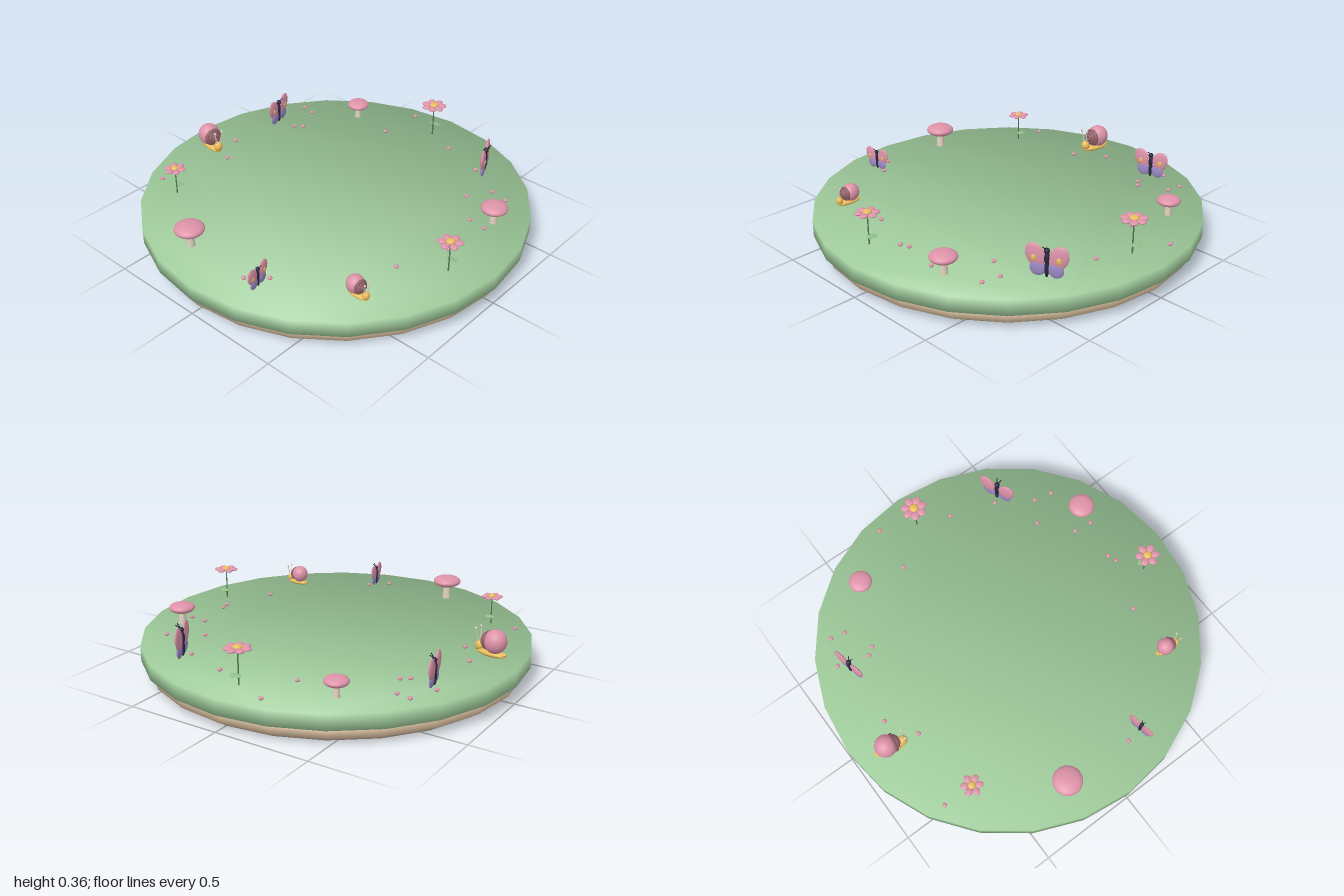
import * as THREE from 'three';

const mat = (color, side = THREE.FrontSide) => new THREE.MeshStandardMaterial({ color, side });
const PINK = mat(0xdd92a8), GREEN = mat(0xa0cc9c), TAN = mat(0xe2c6a4), BROWN = mat(0xb89f90);
const YELLOW = mat(0xe8bc5c), PURPLE = mat(0x9a88c4), DARK = mat(0x2c2740), STEM = mat(0x4f7a50);
const LEAF = mat(0x8fc08a), CREAM = mat(0xe0d4c0), MAUVE = mat(0x94636a);
const GROUND = 0.164;

function add(parent, name, geometry, material, x = 0, y = 0, z = 0) {
  const mesh = new THREE.Mesh(geometry, material);
  mesh.name = name;
  mesh.position.set(x, y, z);
  parent.add(mesh);
  return mesh;
}

// Ellipsoid with given centre and radii
function blob(parent, name, material, [x, y, z], [rx, ry, rz], detail = 16) {
  const mesh = add(parent, name, new THREE.SphereGeometry(1, detail, Math.ceil(detail * 0.7)), material, x, y, z);
  mesh.scale.set(rx, ry, rz);
  return mesh;
}

// Thin straight rod between two points
function rod(parent, name, material, a, b, r) {
  const path = new THREE.LineCurve3(new THREE.Vector3(...a), new THREE.Vector3(...b));
  return add(parent, name, new THREE.TubeGeometry(path, 1, r, 6), material);
}

// 24-sided slab whose normals blend softly around the rim
function slab(radius, y0, y1) {
  const pts = Array.from({ length: 24 }, (_, i) => {
    const a = (i / 24) * Math.PI * 2;
    return new THREE.Vector2(Math.cos(a) * radius, Math.sin(a) * radius);
  });
  const geo = new THREE.ExtrudeGeometry(new THREE.Shape(pts), { depth: y1 - y0, bevelEnabled: false });
  geo.rotateX(-Math.PI / 2).translate(0, y0, 0);
  const p = geo.attributes.position, n = new THREE.Vector3();
  for (let i = 0; i < p.count; i++) {
    n.set(p.getX(i), p.getY(i) > (y0 + y1) / 2 ? radius : -radius, p.getZ(i)).normalize();
    geo.attributes.normal.setXYZ(i, n.x, n.y, n.z);
  }
  return geo;
}

function flower(petals = 6) {
  const g = new THREE.Group();
  add(g, 'flowerStem', new THREE.CylinderGeometry(0.003, 0.004, 0.18, 8), STEM, 0, 0.09, 0);
  const leaf = blob(g, 'flowerLeaf', LEAF, [0.025, 0.055, 0], [0.02, 0.003, 0.032], 12);
  leaf.rotation.z = -0.15;
  for (let i = 0; i < petals; i++) {
    const a = (i / petals) * Math.PI * 2;
    const petal = blob(g, 'petal', PINK, [Math.cos(a) * 0.044, 0.181, Math.sin(a) * 0.044], [0.025, 0.009, 0.021]);
    petal.rotation.y = -a;
  }
  blob(g, 'flowerCentre', YELLOW, [0, 0.185, 0], [0.024, 0.013, 0.024]);
  return g;
}

function mushroom() {
  const g = new THREE.Group();
  add(g, 'mushroomStem', new THREE.CylinderGeometry(0.018, 0.022, 0.09, 16), CREAM, 0, 0.045, 0);
  blob(g, 'mushroomCap', PINK, [0, 0.097, 0], [0.075, 0.031, 0.075], 24);
  return g;
}

function butterfly() {
  const g = new THREE.Group();
  blob(g, 'abdomen', DARK, [0, 0.045, 0], [0.011, 0.045, 0.012]);
  blob(g, 'thorax', DARK, [0, 0.095, 0], [0.013, 0.035, 0.014]);
  blob(g, 'butterflyHead', DARK, [0, 0.135, 0.003], [0.014, 0.014, 0.014]);
  for (const s of [-1, 1]) {
    const upper = blob(g, 'upperWing', PINK, [s * 0.056, 0.105, 0], [0.046, 0.061, 0.012], 20);
    upper.rotation.z = -s * 0.4;
    const lower = blob(g, 'lowerWing', PURPLE, [s * 0.044, 0.042, 0.002], [0.038, 0.038, 0.01], 20);
    lower.rotation.z = s * 0.4;
    blob(g, 'wingSpot', YELLOW, [s * 0.06, 0.095, 0.011], [0.013, 0.016, 0.005], 12);
    rod(g, 'antenna', DARK, [0, 0.142, 0.004], [s * 0.014, 0.162, 0.025], 0.0025);
  }
  return g;
}

function snail() {
  const g = new THREE.Group();
  blob(g, 'foot', YELLOW, [0, 0.018, -0.005], [0.033, 0.018, 0.085]);
  const tail = blob(g, 'tail', YELLOW, [0, 0.022, -0.07], [0.016, 0.01, 0.025], 12);
  tail.rotation.x = 0.3;
  blob(g, 'snailHead', YELLOW, [0, 0.042, 0.064], [0.024, 0.027, 0.023]);
  blob(g, 'shell', PINK, [0, 0.081, -0.025], [0.057, 0.06, 0.057], 24);
  // Shell whorls shrinking towards the head
  [[0.037, 0.012, 0.016], [0.027, 0.01, 0.031], [0.015, 0.009, 0.04]].forEach(([r, t, z]) =>
    add(g, 'shellRing', new THREE.TorusGeometry(r, t, 8, 24), MAUVE, 0, 0.08, z));
  for (const s of [-1, 1]) {
    rod(g, 'eyeStalk', CREAM, [s * 0.01, 0.06, 0.066], [s * 0.022, 0.13, 0.075], 0.003);
    blob(g, 'eye', CREAM, [s * 0.022, 0.132, 0.075], [0.007, 0.007, 0.007], 10);
  }
  return g;
}

export function createModel() {
  const model = new THREE.Group();
  model.name = 'gardenDisc';

  // Layered base
  add(model, 'baseSlab', slab(0.92, 0, 0.03), BROWN);
  add(model, 'middleSlab', slab(0.965, 0.03, 0.084), TAN);
  add(model, 'grassTop', slab(1, 0.084, GROUND), GREEN);

  // Eleven ornaments evenly spaced in a ring: name, builder, scale, turn
  const ring = [
    ['flower', () => flower(7), 1, 0], ['butterfly', butterfly, 1, 0.42], ['mushroom', mushroom, 0.9, 0],
    ['flower', flower, 0.92, 0], ['snail', snail, 0.77, -0.08], ['butterfly', butterfly, 0.73, 0.18],
    ['mushroom', mushroom, 1, 0], ['flower', flower, 0.82, 0], ['snail', snail, 1, -0.17],
    ['butterfly', butterfly, 0.92, 0.22], ['mushroom', mushroom, 0.8, 0],
  ];
  ring.forEach(([name, build, scale, turn], i) => {
    const a = (i / ring.length) * Math.PI * 2;
    const item = build();
    item.name = name;
    item.position.set(Math.cos(a) * 0.82, GROUND, Math.sin(a) * 0.82);
    item.rotation.y = turn;
    item.scale.setScalar(scale);
    model.add(item);
  });

  // Scattered buds on the grass
  const buds = [
    [-0.51, -0.77], [-0.14, -0.665], [0.015, -0.765], [0.35, -0.63], [0.38, -0.59], [0.53, -0.66],
    [0.545, -0.735], [0.4, -0.79], [0.65, -0.205], [0.9, -0.185], [0.745, 0.17], [0.43, 0.52],
    [0.55, 0.595], [0.53, 0.69], [0.27, 0.655], [0.26, 0.75], [0.05, 0.705], [0.005, 0.72],
    [-0.265, 0.62], [-0.72, 0.24], [-0.8, 0.15], [0.665, 0.41],
  ];
  for (const [x, z] of buds) blob(model, 'bud', PINK, [x, GROUND + 0.01, z], [0.012, 0.009, 0.012], 10);

  return model;
}
